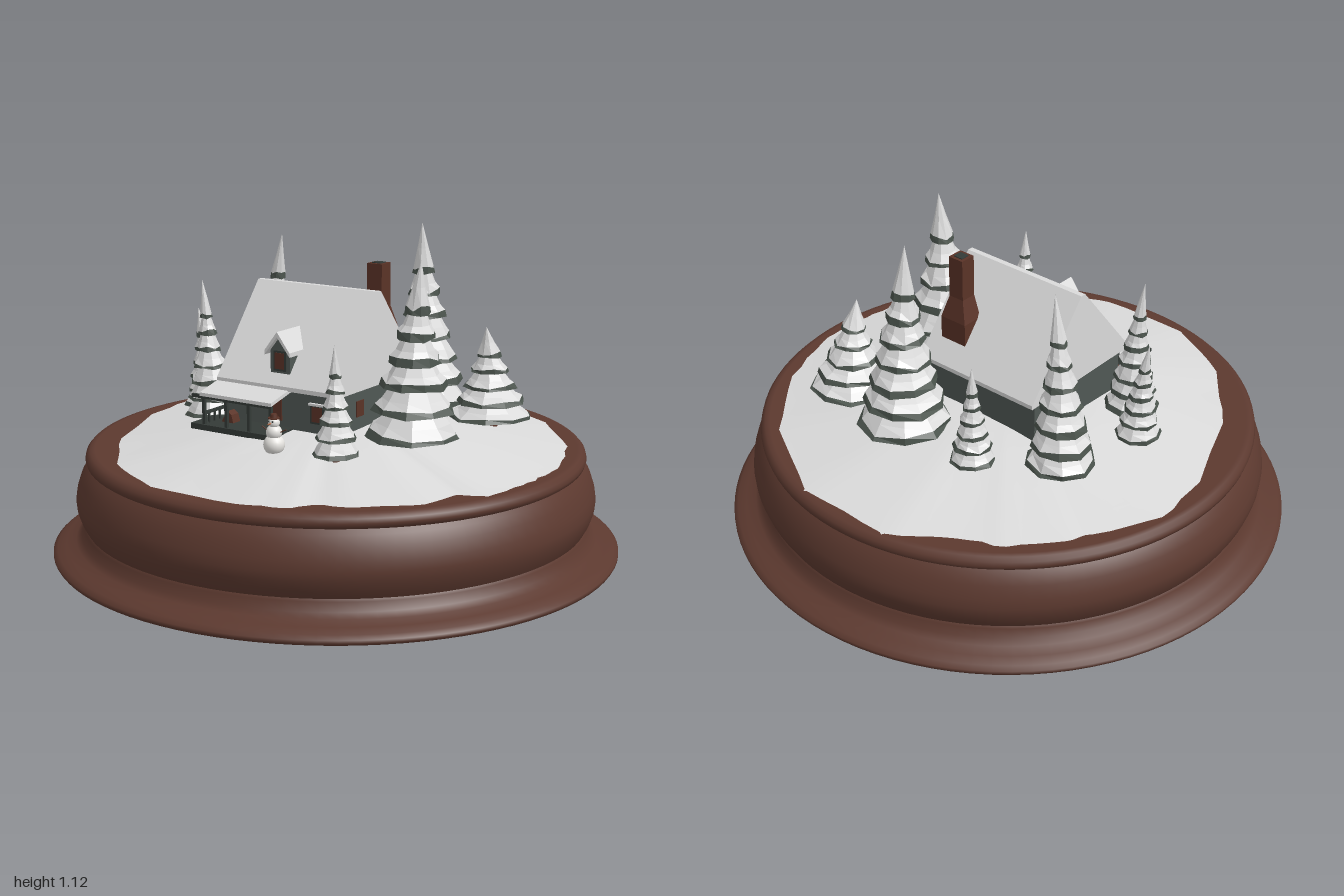
import * as THREE from 'three';
import { mergeVertices } from 'three/addons/utils/BufferGeometryUtils.js';

const mat = (name, color) => Object.assign(new THREE.MeshStandardMaterial({ color }), { name });
const M = {
  wood: mat('base wood', 0x5c392f),
  snow: mat('snow', 0xdadada),
  pine: mat('pine green', 0x4b544d),
  wall: mat('wall grey', 0x505854),
  brick: mat('brick', 0x5a3327),
  white: mat('snowman white', 0xf2f0ec),
  dark: mat('dark timber', 0x343a37),
  orange: mat('carrot', 0xb0623a),
};

function add(parent, name, geo, material, x = 0, y = 0, z = 0) {
  const m = new THREE.Mesh(geo, material);
  m.name = name;
  m.position.set(x, y, z);
  parent.add(m);
  return m;
}
const box = (p, name, m, w, h, d, x, y, z) => add(p, name, new THREE.BoxGeometry(w, h, d), m, x, y, z);

// Skin over closed rings, listed from top to bottom
function loft(rings, smooth = false) {
  const pos = [];
  for (let i = 0; i + 1 < rings.length; i++) {
    const u = rings[i], l = rings[i + 1], n = u.length;
    for (let j = 0; j < n; j++) {
      const k = (j + 1) % n;
      pos.push(...u[j], ...u[k], ...l[j], ...u[k], ...l[k], ...l[j]);
    }
  }
  let g = new THREE.BufferGeometry();
  g.setAttribute('position', new THREE.Float32BufferAttribute(pos, 3));
  if (smooth) g = mergeVertices(g, 1e-5);
  g.computeVertexNormals();
  return g;
}

// Outline in (z, y) extruded across x
function sideExtrude(pts, x0, x1) {
  const s = new THREE.Shape(pts.map(p => new THREE.Vector2(...p)));
  const g = new THREE.ExtrudeGeometry(s, { depth: x1 - x0, bevelEnabled: false });
  return g.rotateY(-Math.PI / 2).translate(x1, 0, 0);
}
// Outline in (x, y) extruded along z
function frontExtrude(pts, z0, z1) {
  const s = new THREE.Shape(pts.map(p => new THREE.Vector2(...p)));
  return new THREE.ExtrudeGeometry(s, { depth: z1 - z0, bevelEnabled: false }).translate(0, 0, z0);
}

let seed = 7;
const rand = () => (seed = (seed * 16807) % 2147483647) / 2147483647;

// Turned wooden base
function makeBase(root) {
  const parts = [
    [[0, 0], [0.995, 0], [1, 0.008], [1, 0.018], [0.985, 0.03], [0.955, 0.042], [0.92, 0.054], [0.9, 0.07], [0.89, 0.1], [0.885, 0.108]],
    [[0.885, 0.108], [0.9, 0.135], [0.912, 0.17], [0.915, 0.2], [0.91, 0.235], [0.895, 0.28], [0.877, 0.31], [0.865, 0.325]],
    [[0.865, 0.325], [0.875, 0.332], [0.879, 0.345], [0.875, 0.36], [0.862, 0.373], [0.845, 0.375], [0, 0.368]],
  ];
  const names = ['baseFoot', 'baseBody', 'baseRim'];
  parts.forEach((p, i) => add(root, names[i],
    new THREE.LatheGeometry(p.map(q => new THREE.Vector2(...q)), 96), M.wood));
}

// Snowy hill with a ragged rim
function makeGround(root) {
  const edge = [[0.83, 0], [0.82, 0.14], [0.786, 0.315], [0.69, 0.35], [0.66, 0.5], [0.49, 0.65], [0.37, 0.69],
    [0.32, 0.77], [0.165, 0.82], [-0.18, 0.82], [-0.45, 0.67], [-0.66, 0.4], [-0.8, 0.06], [-0.82, -0.18],
    [-0.7, -0.4], [-0.66, -0.48], [-0.53, -0.63], [-0.38, -0.7], [-0.18, -0.84], [0.18, -0.84], [0.51, -0.65],
    [0.73, -0.38], [0.82, -0.13]];
  const rim = [];
  edge.forEach((p, i) => {
    const q = edge[(i + 1) % edge.length];
    for (let k = 0; k < 4; k++) {
      const t = k / 4, s = k ? 1 + (rand() - 0.5) * 0.018 : 1;
      rim.push([(p[0] + (q[0] - p[0]) * t) * s, (p[1] + (q[1] - p[1]) * t) * s]);
    }
  });
  const levels = [[0, 0.472], [0.2, 0.471], [0.36, 0.464], [0.5, 0.45], [0.7, 0.418], [0.88, 0.39], [1, 0.373]];
  add(root, 'snowGround', loft(levels.map(([t, y]) => rim.map(([x, z]) => [x * t, y, z * t])), true), M.snow);
}

// Fir: stacked skirts, snow above and bare needles along each hem
function makeTree(root, [x, z, R, top, tiers, leanX, leanZ]) {
  const tree = new THREE.Group();
  tree.name = 'firTree';
  tree.position.set(x, 0, z);
  root.add(tree);
  const y0 = 0.475 - 0.07 * Math.max(0, Math.hypot(x, z) - 0.2), H = top - y0, n = 9;
  const radius = f => R * Math.pow(1 - f, 1.1);
  const ring = (r, y, twist, jr = 0, jy = 0) => Array.from({ length: n }, (_, j) => {
    const a = (j + twist) / n * Math.PI * 2, rr = r * (1 + (rand() - 0.5) * jr);
    const t = Math.max(0, (y - y0) / H) ** 2;
    return [Math.cos(a) * rr + leanX * t, y + (rand() - 0.5) * jy, Math.sin(a) * rr + leanZ * t];
  });
  add(tree, 'trunk', new THREE.CylinderGeometry(R * 0.15, R * 0.2, 0.12, 8), M.brick, 0, y0, 0);
  for (let i = 0; i < tiers; i++) {
    const f = i / tiers * 0.84, g = (i + 1) / tiers * 0.84, last = i === tiers - 1;
    const r = radius(f), y = y0 + f * H, step = (g - f) * H, w = rand();
    const yTop = last ? top : y + step * 1.12;
    const hem = ring(r, y, w, 0.1, step * 0.12);
    const line = ring(r * 0.93, y + step * 0.24, w, 0.1, step * 0.24);
    const mid = ring(last ? r * 0.5 : (r + radius(g)) * 0.42, y + (yTop - y) * 0.5, w);
    const cap = ring(last ? 0 : radius(g) * 0.65, yTop, w);
    add(tree, 'snowSkirt' + i, loft([cap, mid, line]), M.snow);
    add(tree, 'needleHem' + i, loft([line, hem, ring(0, y + step * 0.15, w)]), M.pine);
  }
}

function makeHouse(root) {
  const h = new THREE.Group();
  h.name = 'cottage';
  root.add(h);
  box(h, 'walls', M.wall, 0.47, 0.19, 0.46, -0.06, 0.525, 0.02);
  add(h, 'snowyRoof', sideExtrude([[0.28, 0.605], [0.28, 0.62], [0.03, 0.93], [0.01, 0.93], [-0.24, 0.62], [-0.24, 0.605]], -0.31, 0.19), M.snow);

  // Dormer
  const c = -0.062;
  add(h, 'dormerWall', frontExtrude([[c - 0.04, 0.65], [c + 0.04, 0.65], [c + 0.04, 0.74], [c, 0.79], [c - 0.04, 0.74]], 0.1, 0.25), M.wall);
  add(h, 'dormerRoof', frontExtrude([[c - 0.052, 0.72], [c, 0.785], [c + 0.052, 0.72], [c + 0.052, 0.735], [c, 0.803], [c - 0.052, 0.735]], 0.1, 0.27), M.snow);
  box(h, 'dormerFrame', M.dark, 0.052, 0.07, 0.004, c, 0.7, 0.252);
  box(h, 'dormerWindow', M.brick, 0.038, 0.056, 0.006, c, 0.7, 0.253);

  // Chimney with flared shoulders
  const rect = (x0, x1, y, z0, z1) => [[x0, y, z0], [x1, y, z0], [x1, y, z1], [x0, y, z1]];
  const flat = [0.09, 0.09, 1, -0.137, -0.137];
  add(h, 'chimney', loft([rect(...flat), rect(0.06, 0.12, 1, -0.165, -0.107), rect(0.06, 0.12, 0.85, -0.165, -0.107),
    rect(0.035, 0.142, 0.77, -0.185, -0.105), rect(0.035, 0.142, 0.64, -0.185, -0.105)]), M.brick);
  box(h, 'chimneyFlue', M.dark, 0.036, 0.004, 0.034, 0.09, 1.001, -0.136);

  // Porch
  add(h, 'porchRoof', sideExtrude([[0.24, 0.605], [0.38, 0.572], [0.38, 0.584], [0.24, 0.618]], -0.31, -0.01), M.snow);
  box(h, 'porchFloor', M.dark, 0.34, 0.02, 0.13, -0.18, 0.462, 0.315);
  box(h, 'porchBeam', M.dark, 0.33, 0.012, 0.012, -0.185, 0.568, 0.367);
  for (const x of [-0.3, -0.205, -0.11, -0.02]) box(h, 'porchPost', M.dark, 0.011, 0.11, 0.011, x, 0.515, 0.367);
  box(h, 'porchSideRail', M.dark, 0.01, 0.01, 0.11, -0.3, 0.51, 0.312);
  for (const z of [0.28, 0.31, 0.34]) box(h, 'railSpindle', M.dark, 0.006, 0.05, 0.006, -0.3, 0.485, z);
  add(h, 'logPile', frontExtrude([[-0.27, 0.472], [-0.22, 0.472], [-0.228, 0.5], [-0.245, 0.512]], 0.27, 0.31), M.brick);

  // Door and windows
  box(h, 'frontDoor', M.brick, 0.045, 0.075, 0.006, -0.078, 0.53, 0.252);
  box(h, 'frontWindowFrame', M.dark, 0.056, 0.066, 0.004, 0.09, 0.532, 0.252);
  box(h, 'frontWindow', M.brick, 0.042, 0.052, 0.007, 0.09, 0.532, 0.252);
  box(h, 'windowLedgeSnow', M.snow, 0.06, 0.008, 0.014, 0.09, 0.567, 0.255);
  for (const z of [-0.1, 0.12]) box(h, 'sideWindow', M.brick, 0.006, 0.055, 0.045, 0.176, 0.54, z);
}

function makeSnowman(root) {
  const s = new THREE.Group();
  s.name = 'snowman';
  s.position.set(0.045, 0, 0.44);
  root.add(s);
  for (const [r, y] of [[0.036, 0.465], [0.027, 0.507], [0.02, 0.54]])
    add(s, 'snowball', new THREE.SphereGeometry(r, 20, 14), M.white, 0, y, 0);
  add(s, 'hatBrim', new THREE.CylinderGeometry(0.019, 0.019, 0.004, 16), M.brick, 0, 0.555, 0);
  add(s, 'hatCrown', new THREE.CylinderGeometry(0.011, 0.013, 0.014, 16), M.brick, 0, 0.562, 0);
  add(s, 'nose', new THREE.ConeGeometry(0.004, 0.022, 8).rotateX(Math.PI / 2), M.orange, 0, 0.54, 0.028);
  for (const k of [-1, 1]) {
    add(s, 'eye', new THREE.SphereGeometry(0.003, 8, 6), M.dark, k * 0.007, 0.546, 0.018);
    const arm = add(s, 'arm', new THREE.CylinderGeometry(0.002, 0.002, 0.03, 6), M.brick, k * 0.035, 0.515, 0);
    arm.rotation.z = -k * 1.1;
  }
}

export function createModel() {
  const root = new THREE.Group();
  root.name = 'winterScene';
  makeBase(root);
  makeGround(root);
  makeHouse(root);
  makeSnowman(root);
  // x, z, radius, top, tiers, lean x, lean z
  const trees = [
    [0.36, 0.075, 0.165, 1.06, 6, 0.025, 0], [0.13, -0.395, 0.165, 1.12, 7, 0, 0.03],
    [0.43, -0.345, 0.15, 0.78, 5, 0, 0.04], [-0.435, -0.24, 0.12, 1.06, 7, 0.06, 0.03],
    [-0.405, 0.19, 0.095, 0.94, 7, -0.025, 0.01], [-0.525, 0.065, 0.08, 0.81, 6, -0.03, 0],
    [-0.2, -0.415, 0.078, 0.81, 6, 0, 0], [0.263, 0.4, 0.08, 0.82, 6, 0, 0.01],
  ];
  trees.forEach(t => makeTree(root, t));
  return root;
}
